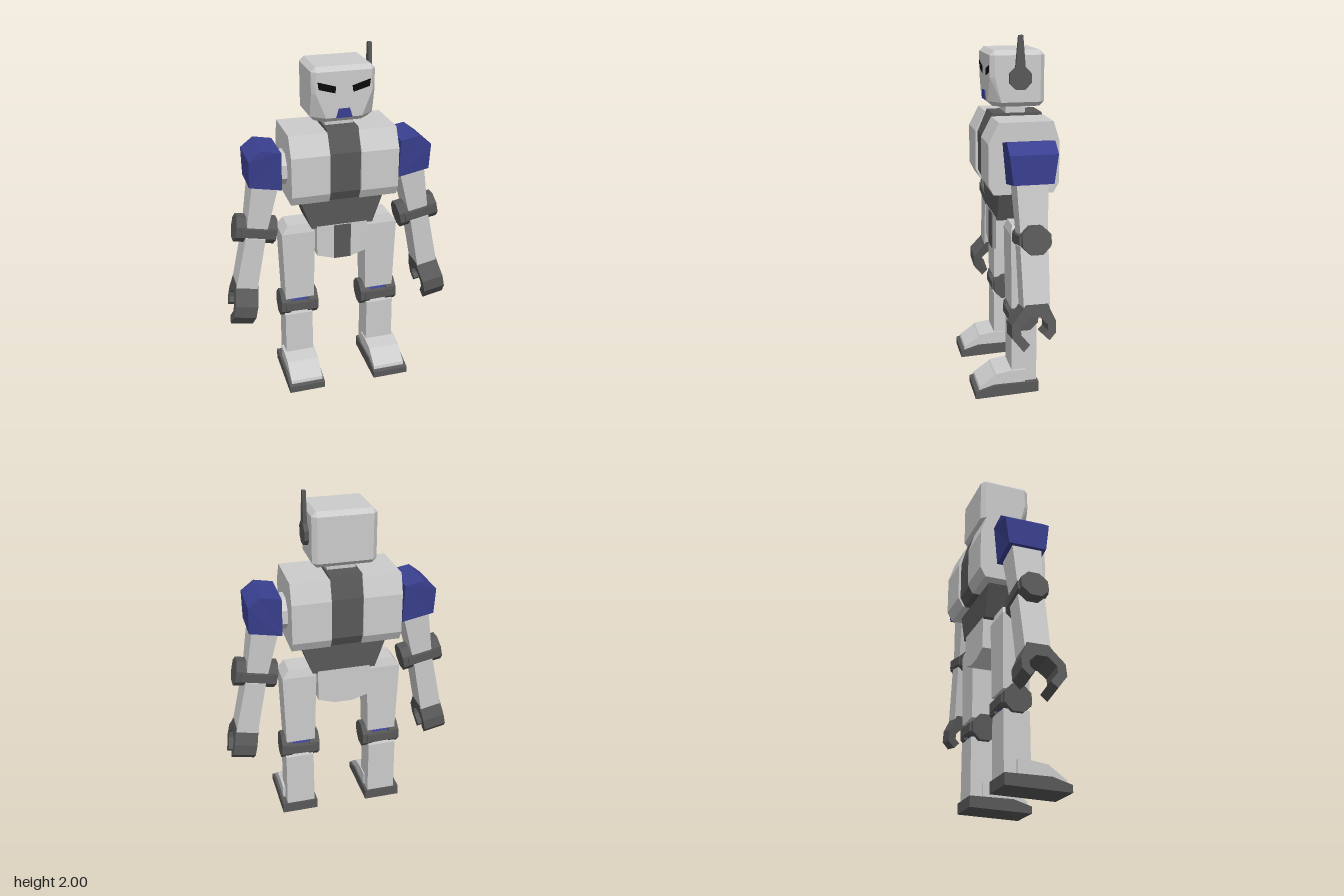
import * as THREE from 'three';
import { ConvexGeometry } from 'three/addons/geometries/ConvexGeometry.js';

const mat = (color) => new THREE.MeshStandardMaterial({ color, flatShading: true });
const grey = mat(0xcccccc), dark = mat(0x585858), blue = mat(0x3a4090), black = mat(0x0a0a0a);

function add(parent, name, geometry, material, x = 0, y = 0, z = 0) {
  const mesh = new THREE.Mesh(geometry, material);
  mesh.name = name;
  mesh.position.set(x, y, z);
  parent.add(mesh);
  return mesh;
}

const shapeOf = (pts) => new THREE.Shape(pts.map(([a, b]) => new THREE.Vector2(a, b)));

// outline in (x, y), extruded from z0 to z1
const frontProfile = (pts, z0, z1) =>
  new THREE.ExtrudeGeometry(shapeOf(pts), { depth: z1 - z0, bevelEnabled: false }).translate(0, 0, z0);

// outline in (z, y), extruded from x0 to x1
const sideProfile = (pts, x0, x1) =>
  new THREE.ExtrudeGeometry(shapeOf(pts), { depth: x1 - x0, bevelEnabled: false })
    .rotateY(-Math.PI / 2).translate(x1, 0, 0);

// box between y0 and y1 with different widths and depths at bottom and top
function taperBox(y0, y1, w0, d0, w1, d1) {
  const g = new THREE.BoxGeometry(1, 1, 1);
  const p = g.attributes.position;
  for (let i = 0; i < p.count; i++) {
    const top = p.getY(i) > 0;
    p.setXYZ(i, p.getX(i) * (top ? w1 : w0), top ? y1 : y0, p.getZ(i) * (top ? d1 : d0));
  }
  g.computeVertexNormals();
  return g;
}

// eight-sided drum lying along x
const drum = (r, length) =>
  new THREE.CylinderGeometry(r, r, length, 8).rotateY(Math.PI / 8).rotateZ(Math.PI / 2);

// hinge with two end caps, a blue core and dark bars front and back
function hinge(name, half, cap) {
  const g = new THREE.Group();
  g.name = name;
  add(g, 'hingeCore', drum(0.058, half * 1.6), blue);
  for (const s of [-1, 1]) {
    add(g, 'hingeCap', drum(0.081, cap), dark, s * (half - cap / 2));
    add(g, 'hingeBar', new THREE.BoxGeometry(half * 1.5, 0.05, 0.05), dark, 0, 0, s * 0.06);
  }
  return g;
}

function makeHead() {
  const head = new THREE.Group();
  head.name = 'head';
  // chamfered block whose lower front corners are cut back as cheeks
  const W = 0.175, B = 0.025, y0 = 1.62, y1 = 1.92, zb = -0.19, zf = 0.11;
  const pts = [];
  for (const s of [-1, 1]) {
    for (const [y, yi] of [[y0, y0 + B], [y1, y1 - B]]) {
      pts.push([s * (W - B), y, zb + B], [s * W, yi, zb + B], [s * (W - B), yi, zb]);
    }
    pts.push([s * (W - B), y1, zf - B], [s * W, y1 - B, zf - B], [s * (W - B), y1 - B, zf]);
    pts.push([s * 0.155, 1.78, zf], [s * W, 1.78, zf - B], [s * 0.1, y0 + B, zf]);
    pts.push([s * W, y0 + B, 0.05], [s * 0.15, y0, 0.04], [s * 0.1, y0, zf - B]);
  }
  add(head, 'skull', new ConvexGeometry(pts.map((p) => new THREE.Vector3(...p))), grey);
  for (const s of [-1, 1]) {
    add(head, 'eye', frontProfile(
      [[s * 0.145, 1.845], [s * 0.045, 1.815], [s * 0.05, 1.78], [s * 0.14, 1.805]], 0.09, 0.112), black);
  }
  add(head, 'mouth', frontProfile([[-0.045, 1.645], [0.045, 1.645], [0.03, 1.695], [-0.03, 1.695]], 0.09, 0.117), blue);
  add(head, 'neck', taperBox(1.54, 1.63, 0.16, 0.11, 0.16, 0.11), grey, 0, 0, -0.047);
  // single antenna on the left side
  add(head, 'antennaBase', drum(0.065, 0.026), dark, 0.187, 1.775, -0.05);
  add(head, 'antennaRod', taperBox(1.81, 2, 0.02, 0.058, 0.02, 0.024), dark, 0.187, 0, -0.05);
  return head;
}

function makeTorso() {
  const torso = new THREE.Group();
  torso.name = 'torso';
  const chest = [[0.12, 1.17], [0.148, 1.225], [0.148, 1.45], [0.09, 1.56],
    [-0.205, 1.56], [-0.24, 1.45], [-0.24, 1.225], [-0.21, 1.17]];
  for (const s of [-1, 1]) {
    add(torso, 'chestSide', sideProfile(chest, s > 0 ? 0.088 : -0.305, s > 0 ? 0.305 : -0.088), grey);
    add(torso, 'shoulderAxle', drum(0.1, 0.08), grey, s * 0.33, 1.34, -0.045);
  }
  // slightly recessed centre strip
  const strip = chest.map(([z, y]) => [(z + 0.046) * 0.93 - 0.046, y > 1.5 ? 1.575 : y]);
  add(torso, 'chestCentre', sideProfile(strip, -0.09, 0.09), dark);
  add(torso, 'waist', taperBox(0.99, 1.172, 0.36, 0.245, 0.49, 0.245), dark, 0, 0, -0.045);
  add(torso, 'pelvis', frontProfile(
    [[-0.15, 1], [-0.15, 0.815], [-0.05, 0.785], [0.05, 0.785], [0.15, 0.815], [0.15, 1]], -0.168, 0.078), grey);
  add(torso, 'pelvisStrip', new THREE.BoxGeometry(0.1, 0.21, 0.02), dark, 0, 0.89, 0.072);
  return torso;
}

function makeArm(s) {
  const side = s > 0 ? 'left' : 'right';
  const group = new THREE.Group();
  group.name = side + 'Arm';
  // shoulder guard, narrowing in depth towards the bottom
  const pad = frontProfile([[0.342, 1.465], [0.45, 1.485], [0.522, 1.43], [0.522, 1.275], [0.34, 1.24]]
    .map(([x, y]) => [s * x, y]), -0.175, 0.08);
  const p = pad.attributes.position;
  for (let i = 0; i < p.count; i++) {
    if (p.getY(i) < 1.4) p.setZ(i, (p.getZ(i) + 0.0475) * 0.84 - 0.0475);
  }
  pad.computeVertexNormals();
  add(group, 'shoulderGuard', pad, blue);

  // limb pivots at the elbow and leans outwards
  const limb = new THREE.Group();
  limb.name = side + 'Limb';
  limb.position.set(s * 0.488, 0.98, -0.045);
  limb.rotation.z = s * 0.2;
  add(limb, 'upperArm', taperBox(0.03, 0.36, 0.12, 0.145, 0.155, 0.175), grey);
  add(limb, 'forearm', taperBox(-0.36, -0.035, 0.125, 0.14, 0.115, 0.15), grey);
  limb.add(hinge('elbow', 0.118, 0.06));
  // open claw hand
  const claw = [[-0.06, -0.34], [0.06, -0.34], [0.08, -0.37], [0.138, -0.44], [0.138, -0.51],
    [0.08, -0.585], [0.045, -0.55], [0.09, -0.495], [0.09, -0.455], [0.045, -0.41], [-0.015, -0.41],
    [-0.055, -0.45], [-0.055, -0.48], [-0.03, -0.505], [-0.06, -0.535], [-0.097, -0.495],
    [-0.097, -0.43], [-0.07, -0.37]];
  add(limb, 'hand', sideProfile(claw, -0.066, 0.066), dark);
  group.add(limb);
  return group;
}

function makeLeg(s) {
  const leg = new THREE.Group();
  leg.name = (s > 0 ? 'left' : 'right') + 'Leg';
  leg.position.x = s * 0.255;
  const z = -0.045;
  add(leg, 'thigh', taperBox(0.52, 0.95, 0.17, 0.145, 0.195, 0.155), grey, -s * 0.008, 0, z);
  add(leg, 'hipCap', taperBox(0.95, 1, 0.195, 0.155, 0.12, 0.13), grey, -s * 0.008, 0, z);
  const knee = hinge('knee', 0.112, 0.06);
  knee.position.set(-s * 0.008, 0.465, z);
  knee.rotation.z = s * 0.03;
  leg.add(knee);
  add(leg, 'shin', taperBox(0.05, 0.41, 0.17, 0.145, 0.165, 0.145), grey, 0, 0, z);
  // foot with a stepped, sloping upper and a wedge sole
  add(leg, 'footUpper', sideProfile(
    [[-0.05, 0.05], [0.22, 0.04], [0.215, 0.065], [0.13, 0.125], [0.12, 0.135], [0.03, 0.148], [-0.05, 0.148]],
    -0.095, 0.095), grey, s * 0.004);
  add(leg, 'sole', sideProfile([[-0.125, 0.01], [0.24, 0], [0.24, 0.04], [0.13, 0.072], [-0.125, 0.072]],
    -0.107, 0.107), dark, s * 0.007);
  return leg;
}

export function createModel() {
  const robot = new THREE.Group();
  robot.name = 'robot';
  robot.add(makeHead(), makeTorso());
  for (const s of [-1, 1]) robot.add(makeArm(s), makeLeg(s));
  return robot;
}
